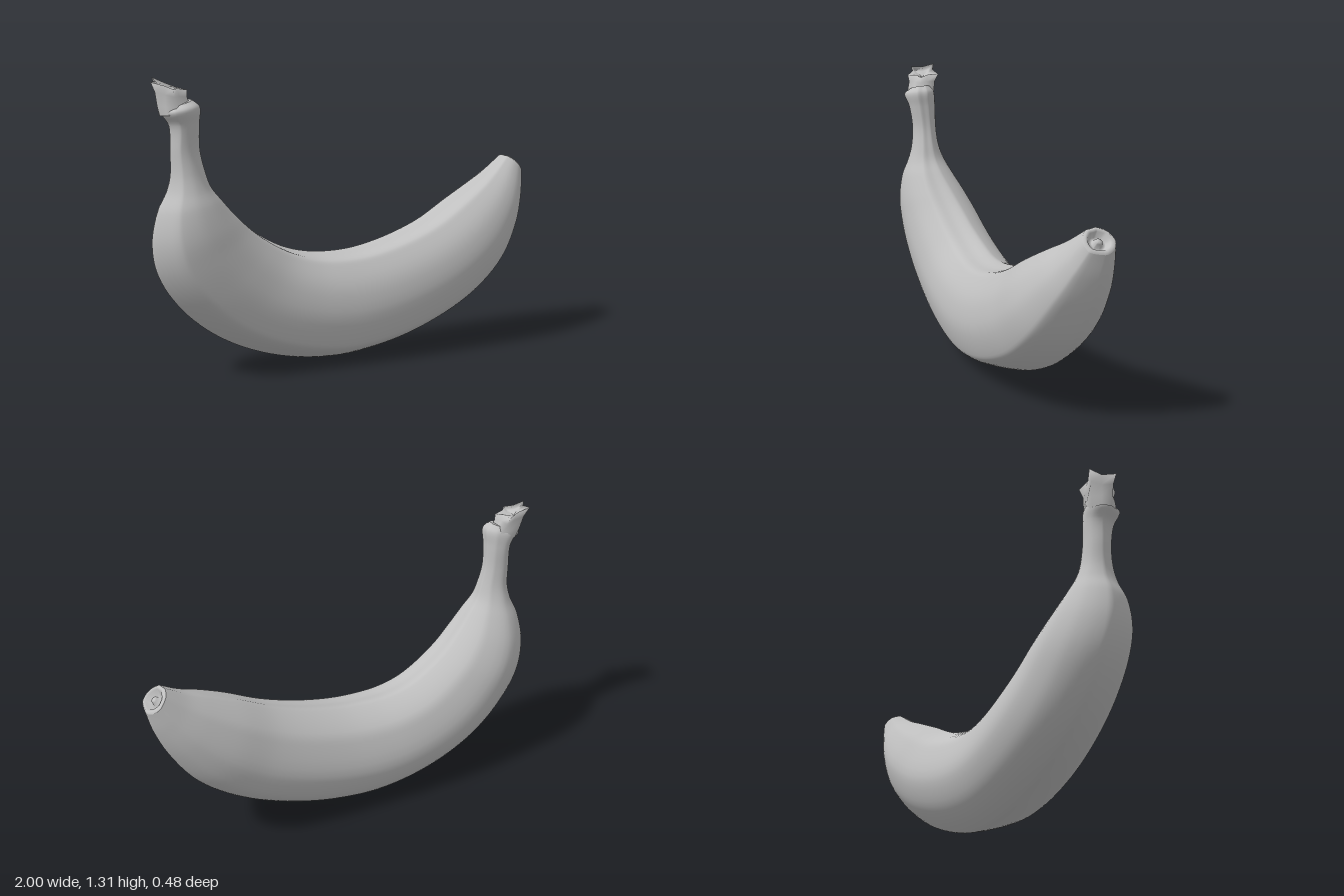
import * as THREE from 'three';

const V = (x, y, z) => new THREE.Vector3(x, y, z);

// Skin a row of closed rings with smooth normals
function loft(rings, material, name) {
  const n = rings[0].length, pos = [], index = [];
  rings.forEach(r => r.forEach(p => pos.push(p.x, p.y, p.z)));
  for (let i = 0; i < rings.length - 1; i++) {
    for (let j = 0; j < n; j++) {
      const a = i * n + j, b = i * n + (j + 1) % n, c = a + n, d = b + n;
      index.push(a, c, b, b, c, d);
    }
  }
  const g = new THREE.BufferGeometry();
  g.setAttribute('position', new THREE.Float32BufferAttribute(pos, 3));
  g.setIndex(index);
  g.computeVertexNormals();
  const mesh = new THREE.Mesh(g, material);
  mesh.name = name;
  return mesh;
}

const centre = ring => ring.reduce((s, p) => s.add(p), V(0, 0, 0)).divideScalar(ring.length);

// Stations along the fruit: outer x, y, inner x, y, back z, front z
const stations = [
  [-0.92, 1.19, -0.82, 1.22, -0.03, 0.07],
  [-0.95, 1.165, -0.79, 1.19, -0.05, 0.1],
  [-0.915, 1.11, -0.79, 1.12, -0.05, 0.085],
  [-0.91, 1.0, -0.785, 1.01, -0.05, 0.07],
  [-0.91, 0.9, -0.765, 0.92, -0.06, 0.08],
  [-0.925, 0.83, -0.74, 0.85, -0.085, 0.1],
  [-0.965, 0.74, -0.69, 0.79, -0.125, 0.13],
  [-0.983, 0.6, -0.62, 0.72, -0.175, 0.152],
  [-0.95, 0.46, -0.53, 0.645, -0.21, 0.158],
  [-0.84, 0.3, -0.42, 0.575, -0.228, 0.162],
  [-0.66, 0.155, -0.32, 0.53, -0.238, 0.168],
  [-0.42, 0.05, -0.22, 0.505, -0.236, 0.182],
  [-0.14, 0, -0.12, 0.497, -0.225, 0.2],
  [0.1, 0.02, 0.02, 0.505, -0.212, 0.217],
  [0.35, 0.09, 0.2, 0.545, -0.2, 0.23],
  [0.6, 0.21, 0.38, 0.61, -0.188, 0.237],
  [0.78, 0.36, 0.55, 0.7, -0.178, 0.225],
  [0.9, 0.54, 0.7, 0.775, -0.148, 0.175],
  [0.965, 0.69, 0.8, 0.825, -0.115, 0.115],
  [0.995, 0.8, 0.9, 0.89, -0.085, 0.06],
];

// Ridged cross-section: across (-1 back, 1 front), and up from outer to inner edge
const section = new THREE.CatmullRomCurve3([
  [-0.1, 0], [0.05, 0.012], [0.45, 0.07], [0.76, 0.14], [0.87, 0.2], [1, 0.45], [0.9, 0.7],
  [0.62, 0.9], [0.5, 0.95], [0.2, 0.97], [-0.08, 1], [-0.2, 0.99], [-0.65, 0.86],
  [-0.8, 0.76], [-1, 0.47], [-0.86, 0.24], [-0.6, 0.1], [-0.25, 0.012],
].map(([u, t]) => V(u, t, 0)), true).getPoints(72).slice(0, -1);

export function createModel() {
  const group = new THREE.Group();
  group.name = 'banana';
  const skin = new THREE.MeshStandardMaterial({ color: 0xc0c0c0 });
  skin.name = 'pale grey';

  // Stem, body and taper as one continuous skin
  const outer = new THREE.CatmullRomCurve3(stations.map(s => V(s[0], s[1], s[4])));
  const inner = new THREE.CatmullRomCurve3(stations.map(s => V(s[2], s[3], s[5])));
  const body = [];
  for (let i = 0; i <= 114; i++) {
    const o = outer.getPoint(i / 114), n = inner.getPoint(i / 114);
    body.push(section.map(p => V(
      THREE.MathUtils.lerp(o.x, n.x, p.y),
      THREE.MathUtils.lerp(o.y, n.y, p.y),
      THREE.MathUtils.lerp(o.z, n.z, (p.x + 1) / 2))));
  }
  group.add(loft(body, skin, 'peel'));

  // Blossom end: rim, shallow hollow and a small nub
  const rim = body[body.length - 1], c = centre(rim), out = V(0.69, 0.72, 0);
  const end = [[1, 0], [0.85, 0.008], [0.68, 0.002], [0.5, -0.022], [0.32, -0.02], [0.22, 0], [0.1, 0.004], [0, 0.004]]
    .map(([k, d]) => rim.map(p => p.clone().sub(c).multiplyScalar(k).add(c).addScaledVector(out, d)));
  group.add(loft(end, skin, 'blossomEnd'));

  // Shoulder closing the top of the stem
  const top = body[0], tc = centre(top);
  group.add(loft([top.map(() => tc), top], skin, 'stemShoulder'));

  // Torn stub: five ragged points around a hollow, leaning outwards
  const points = [V(-1, 1.295, 0.02), V(-0.92, 1.265, 0.07), V(-0.84, 1.26, 0.03), V(-0.85, 1.27, -0.07), V(-0.95, 1.312, -0.085)];
  const sc = centre(points);
  const torn = points.flatMap((p, i) => [p, p.clone().lerp(points[(i + 1) % 5], 0.5).lerp(sc, 0.25)]);
  const base = torn.map((_, j) => {
    const a = j * Math.PI / 5;
    return V(-0.885 - 0.075 * Math.cos(a), 1.155, 0.015 + 0.065 * Math.sin(a));
  });
  const hollow = V(-0.92, 1.25, -0.01);
  const stub = [
    torn.map(() => hollow),
    torn.map(p => p.clone().lerp(hollow, 0.45)),
    torn,
    torn.map((p, j) => p.clone().lerp(base[j], 0.3).lerp(V(-0.91, 1.24, 0), 0.1)),
    torn.map((p, j) => p.clone().lerp(base[j], 0.7)),
    base,
  ];
  group.add(loft(stub, skin, 'stemStub'));

  return group;
}
